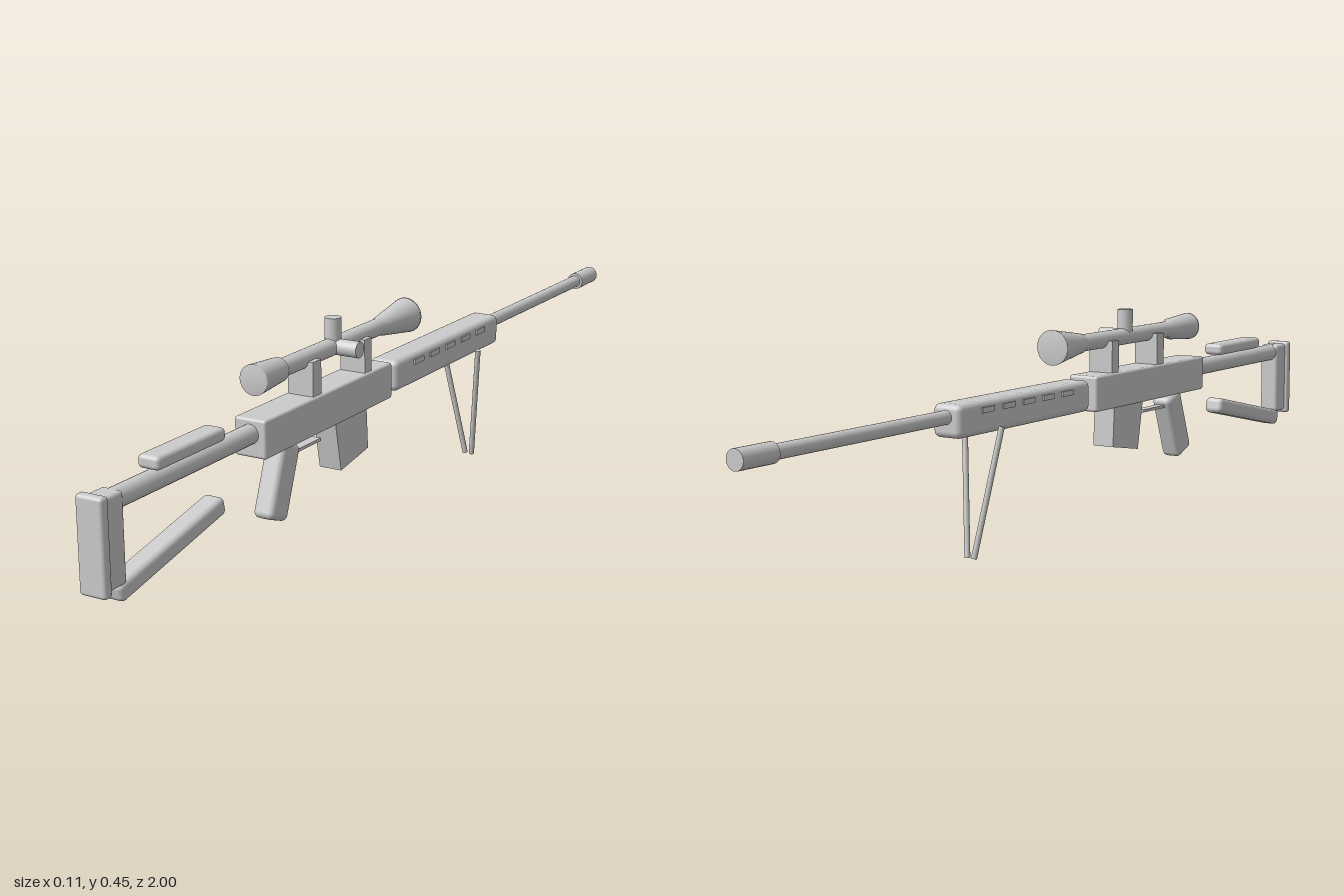
import * as THREE from 'three';
import { RoundedBoxGeometry } from 'three/addons/geometries/RoundedBoxGeometry.js';

export function createModel() {
  const root = new THREE.Group();
  root.name = 'rifle';
  const body = new THREE.Group();
  body.name = 'body';
  body.position.x = -0.006; // the side turret makes the model asymmetric
  root.add(body);
  const mat = new THREE.MeshStandardMaterial({ color: 0xcccccc });

  const add = (name, geo, x = 0, y = 0, z = 0) => {
    const m = new THREE.Mesh(geo, mat);
    m.name = name;
    m.position.set(x, y, z);
    body.add(m);
    return m;
  };
  // Box given by its y and z extents, optionally with rounded edges
  const box = (name, w, y0, y1, z0, z1, r = 0, x = 0) => {
    const size = [w, y1 - y0, z1 - z0];
    const geo = r ? new RoundedBoxGeometry(...size, 3, r) : new THREE.BoxGeometry(...size);
    return add(name, geo, x, (y0 + y1) / 2, (z0 + z1) / 2);
  };
  // Round rod between two points, r0 at the start and r1 at the end
  const rod = (name, a, b, r0, r1 = r0, sides = 24) => {
    const p = new THREE.Vector3(...a), q = new THREE.Vector3(...b);
    const d = q.clone().sub(p);
    const m = add(name, new THREE.CylinderGeometry(r1, r0, d.length(), sides));
    m.position.copy(p).add(q).multiplyScalar(0.5);
    m.quaternion.setFromUnitVectors(new THREE.Vector3(0, 1, 0), d.normalize());
    return m;
  };

  // Barrel and muzzle
  rod('barrel', [0, 0.289, -0.41], [0, 0.289, -0.93], 0.014);
  rod('muzzle', [0, 0.289, -0.91], [0, 0.289, -1], 0.0195);

  // Handguard with a row of vents on each side
  box('handguard', 0.066, 0.248, 0.314, -0.422, 0.042, 0.013);
  for (const s of [-1, 1])
    for (let i = 0; i < 5; i++)
      box('handguardVent', 0.006, 0.291, 0.302, -0.07 - i * 0.07, -0.03 - i * 0.07, 0, s * 0.033);

  // Receiver
  box('receiver', 0.07, 0.243, 0.319, 0.063, 0.53, 0.006);

  // Magazine, a slanted block
  const outline = new THREE.Shape([
    [-0.27, 0.245], [-0.15, 0.245], [-0.145, 0.157], [-0.25, 0.139],
  ].map(([u, v]) => new THREE.Vector2(u, v)));
  const magazine = new THREE.ExtrudeGeometry(outline, { depth: 0.05, bevelEnabled: false });
  magazine.translate(0, 0, -0.025).rotateY(Math.PI / 2);
  add('magazine', magazine);

  // Grip and trigger guard
  const grip = add('grip', new RoundedBoxGeometry(0.046, 0.15, 0.062, 3, 0.012), 0, 0.172, 0.443);
  grip.rotation.x = -0.36;
  box('triggerGuard', 0.02, 0.213, 0.219, 0.3, 0.41);

  // Skeleton stock
  rod('stockBar', [0, 0.289, 0.52], [0, 0.289, 0.975], 0.0195);
  box('stockPost', 0.045, 0.14, 0.308, 0.932, 0.983, 0.008);
  box('buttPlate', 0.057, 0.133, 0.313, 0.979, 1, 0.007);
  box('cheekRest', 0.047, 0.31, 0.336, 0.636, 0.838, 0.009);
  const strut = add('lowerStrut', new RoundedBoxGeometry(0.045, 0.036, 0.315, 3, 0.011), 0, 0.157, 0.795);
  strut.rotation.x = 0.21;

  // Scope: one turned profile, eyepiece at the rear and objective at the front
  const profile = [
    [0, -0.515], [0.03, -0.515], [0.03, -0.51], [0.024, -0.43], [0.018, -0.42],
    [0.018, -0.06], [0.021, -0.05], [0.036, 0.05], [0.037, 0.055], [0, 0.055],
  ].map(([r, h]) => new THREE.Vector2(r, h));
  const scope = add('scope', new THREE.LatheGeometry(profile, 32), 0, 0.389, 0);
  scope.rotation.x = -Math.PI / 2;
  box('rearScopeMount', 0.057, 0.31, 0.388, 0.325, 0.355);
  box('frontScopeMount', 0.057, 0.31, 0.388, 0.135, 0.162);
  rod('topTurret', [0, 0.389, 0.235], [0, 0.448, 0.235], 0.0165);
  rod('sideTurret', [0, 0.389, 0.235], [0.061, 0.389, 0.235], 0.0165);

  // Bipod
  for (const s of [-1, 1])
    rod('bipodLeg', [s * 0.0445, 0.26, -0.3], [s * 0.008, 0.001, -0.345], 0.006, 0.006, 12);

  return root;
}
